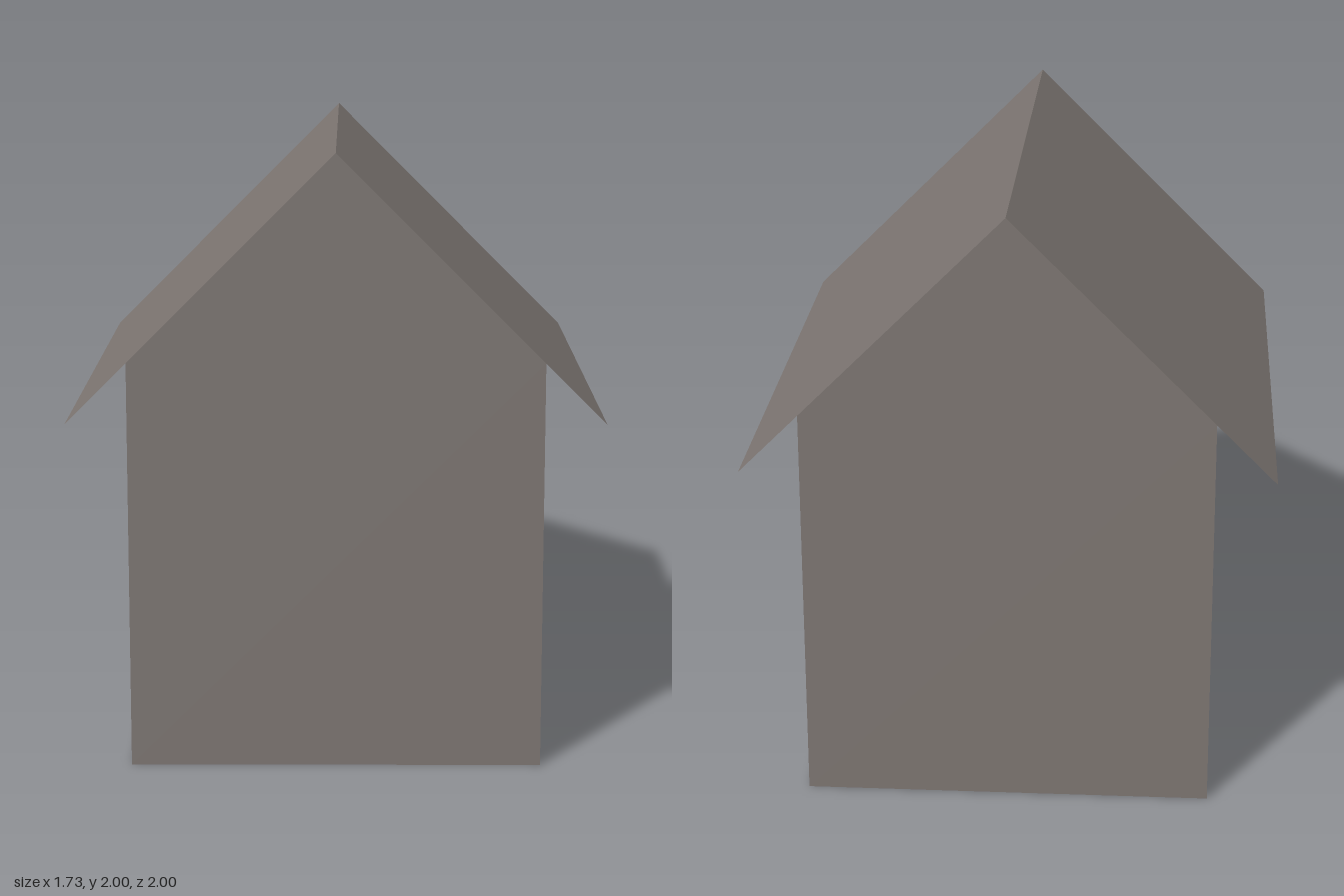
import * as THREE from 'three';

const HALF_WIDTH = 0.667, WALL_HEIGHT = 1.333, RIDGE = 2, HALF_LENGTH = 1, EAVE = 0.865;

export function createModel() {
  const house = new THREE.Group();
  house.name = 'house';
  const stone = new THREE.MeshStandardMaterial({ color: 0x7d7672, side: THREE.DoubleSide });
  stone.name = 'warmGrey';

  const add = (name, geometry) => {
    const mesh = new THREE.Mesh(geometry, stone);
    mesh.name = name;
    house.add(mesh);
    return mesh;
  };

  // Five-sided gable outline
  const gable = new THREE.Shape([
    new THREE.Vector2(-HALF_WIDTH, 0),
    new THREE.Vector2(HALF_WIDTH, 0),
    new THREE.Vector2(HALF_WIDTH, WALL_HEIGHT),
    new THREE.Vector2(0, RIDGE),
    new THREE.Vector2(-HALF_WIDTH, WALL_HEIGHT),
  ]);

  // Front and back gable walls; the underside stays open
  for (const [name, turn] of [['frontWall', 0], ['backWall', Math.PI]]) {
    const wall = add(name, new THREE.ShapeGeometry(gable).translate(0, 0, HALF_LENGTH));
    wall.rotation.y = turn;
  }

  // Side walls and the thin roof slopes that overhang them
  const slope = Math.hypot(EAVE, EAVE);
  for (const [side, s] of [['left', 1], ['right', -1]]) {
    const wall = add(side + 'Wall', new THREE.PlaneGeometry(2 * HALF_LENGTH, WALL_HEIGHT));
    wall.position.set(s * HALF_WIDTH, WALL_HEIGHT / 2, 0);
    wall.rotation.y = s * Math.PI / 2;

    const roof = add(side + 'Roof',
      new THREE.PlaneGeometry(slope, 2 * HALF_LENGTH).rotateX(-Math.PI / 2));
    roof.position.set(s * EAVE / 2, RIDGE - EAVE / 2, 0);
    roof.rotation.z = -s * Math.PI / 4;
  }
  return house;
}
